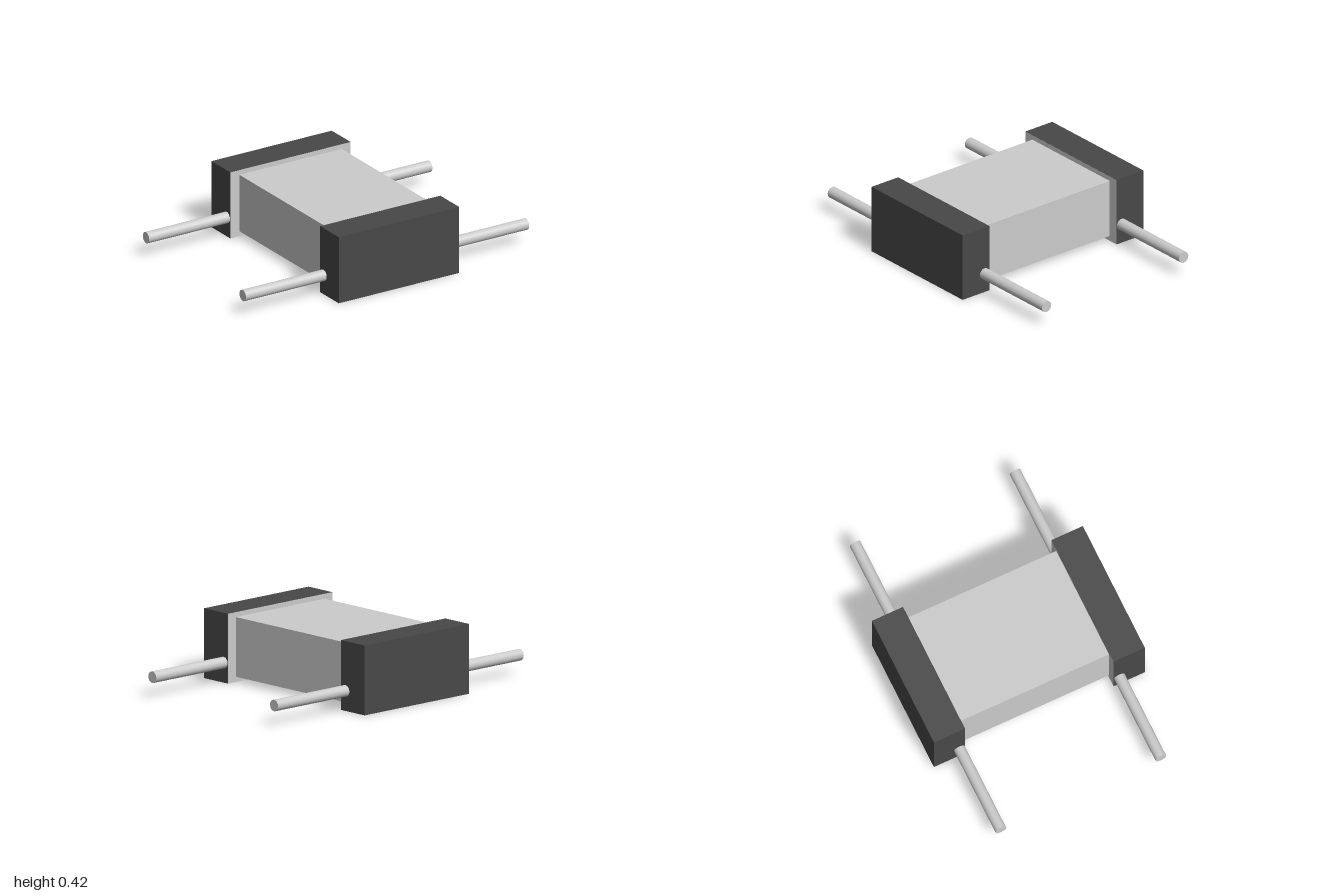
import * as THREE from 'three';

export function createModel() {
  const model = new THREE.Group();
  const grey = new THREE.MeshStandardMaterial({ color: 0xcccccc });
  const dark = new THREE.MeshStandardMaterial({ color: 0x484848 });
  const midX = -0.005, capW = 0.85, capH = 0.424, capInner = 0.488, capOuter = 0.692;

  function add(name, geometry, material, x, y, z) {
    const mesh = new THREE.Mesh(geometry, material);
    mesh.name = name;
    mesh.position.set(x, y, z);
    model.add(mesh);
    return mesh;
  }

  // central block running between the caps
  add('body', new THREE.BoxGeometry(0.722, 0.362, capInner * 2), grey, midX, 0.213, 0);

  for (const [end, s] of [['front', 1], ['back', -1]]) {
    // dark end cap with a light inner face
    const depth = capOuter - capInner;
    add(end + 'Cap', new THREE.BoxGeometry(capW, capH, depth), dark,
      midX, capH / 2, s * (capInner + depth / 2));
    const face = add(end + 'CapInnerFace', new THREE.PlaneGeometry(capW, capH), grey,
      midX, capH / 2, s * (capInner - 0.001));
    if (s > 0) face.rotation.y = Math.PI;

    // round pins sticking out of both sides of the cap
    for (const [side, t] of [['Left', 1], ['Right', -1]]) {
      const start = midX + t * capW / 2;
      const length = Math.abs(t - start);
      const pin = add(end + side + 'Pin', new THREE.CylinderGeometry(0.035, 0.035, length, 32),
        grey, (t + start) / 2, 0.122, s * 0.525);
      pin.rotation.z = Math.PI / 2;
    }
  }
  return model;
}
